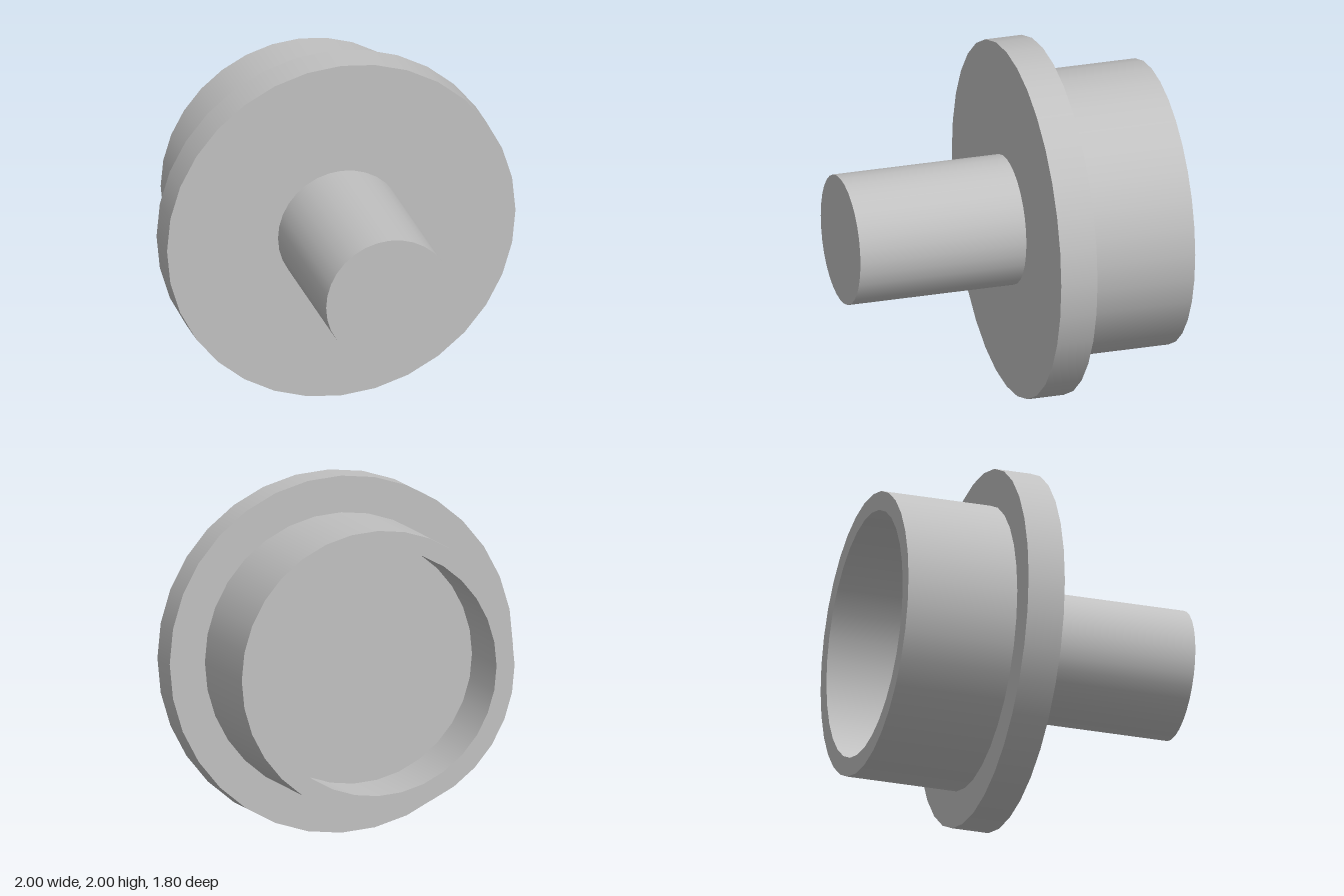
import * as THREE from 'three';
import { mergeGeometries } from 'three/addons/utils/BufferGeometryUtils.js';

const SIDES = 32;

// Turns a [radius, z] profile about the z axis; each straight run is its own
// strip, so walls are smooth and corners stay sharp.
function turned(profile) {
  const strips = [];
  for (let i = 0; i < profile.length - 1; i++) {
    const run = [profile[i], profile[i + 1]].map(([r, z]) => new THREE.Vector2(r, z));
    strips.push(new THREE.LatheGeometry(run, SIDES));
  }
  return mergeGeometries(strips).rotateX(Math.PI / 2);
}

export function createModel() {
  const group = new THREE.Group();
  group.name = 'flangedCup';
  const grey = new THREE.MeshStandardMaterial({ color: 0xc0c0c0 });
  grey.name = 'grey';

  const zBack = -0.9, zFloor = -0.48, zFlangeBack = -0.27, zFlangeFront = -0.06, zFront = 0.9;
  const rShaft = 0.363, rBore = 0.69, rCup = 0.795, rFlange = 1;

  const parts = {
    // hollow cup open to the back: floor, bore, rim, outer wall
    cup: [[0, zFloor], [rBore, zFloor], [rBore, zBack], [rCup, zBack], [rCup, zFlangeBack]],
    // wide disc between cup and shaft
    flange: [[rCup, zFlangeBack], [rFlange, zFlangeBack], [rFlange, zFlangeFront], [rShaft, zFlangeFront]],
    // solid shaft pointing forward
    shaft: [[rShaft, zFlangeFront], [rShaft, zFront], [0, zFront]],
  };

  for (const [name, profile] of Object.entries(parts)) {
    const mesh = new THREE.Mesh(turned(profile), grey);
    mesh.name = name;
    mesh.position.y = 1;
    group.add(mesh);
  }
  return group;
}
